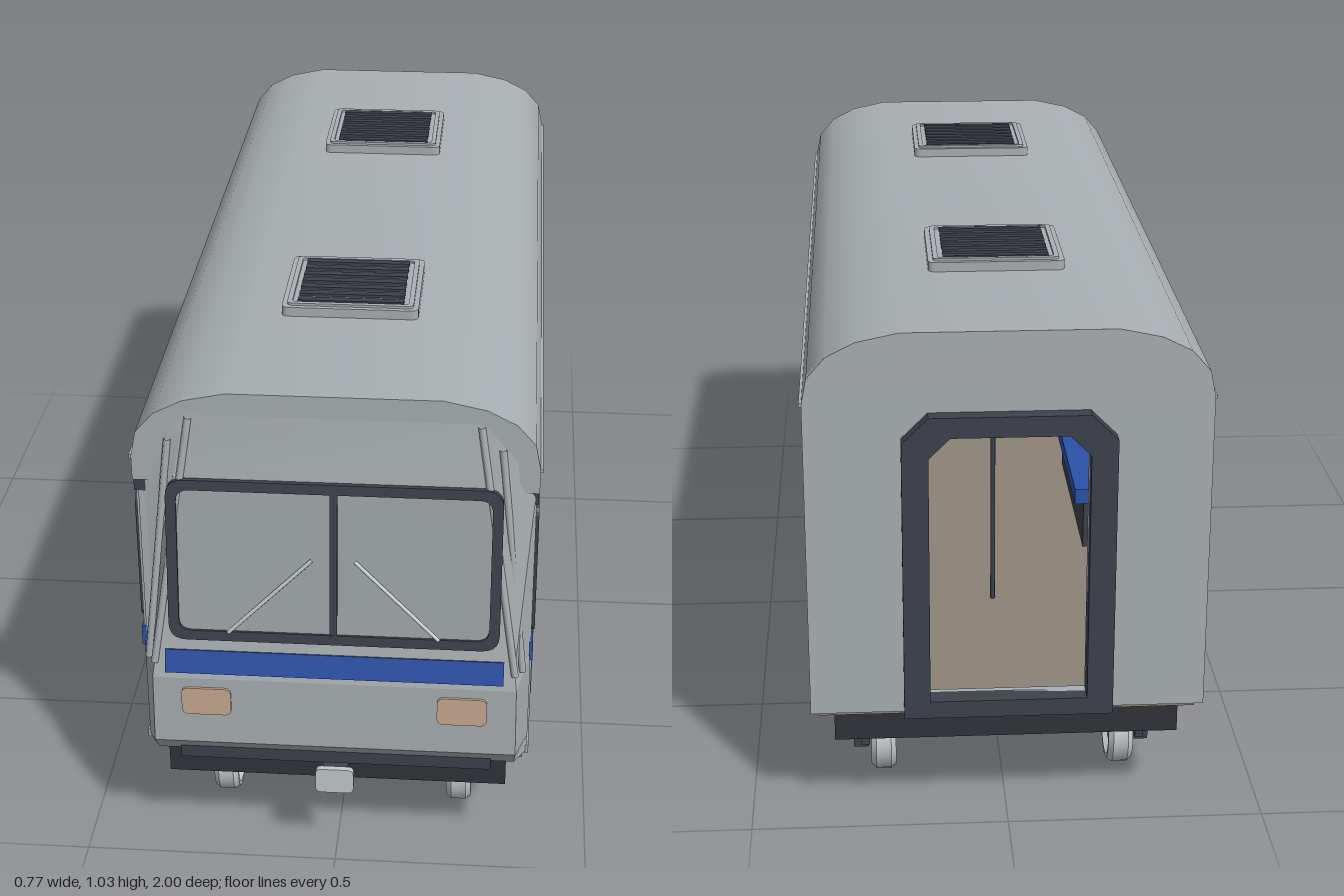
import * as THREE from 'three';
import { toCreasedNormals } from 'three/addons/utils/BufferGeometryUtils.js';

const mat = (name, color, extra = {}) => {
  const m = new THREE.MeshStandardMaterial({ color, ...extra });
  m.name = name;
  return m;
};

export function createModel() {
  const body = mat('body grey', 0xa9afb2, { side: THREE.DoubleSide });
  const glass = mat('window grey', 0x9ea4a7);
  const dark = mat('frame dark grey', 0x3d414b);
  const under = mat('underframe', 0x30333a);
  const blue = mat('stripe blue', 0x2d52a8);
  const lamp = mat('lamp peach', 0xc9aa92);
  const floorTan = mat('floor tan', 0x8b8176);
  const light = mat('wheel light grey', 0xc3c9ca);
  const root = new THREE.Group();

  const add = (name, geo, m, x = 0, y = 0, z = 0, parent = root) => {
    const mesh = new THREE.Mesh(geo, m);
    mesh.name = name;
    mesh.position.set(x, y, z);
    parent.add(mesh);
    return mesh;
  };
  // box given by its limits on each axis
  const box = (name, m, x0, x1, y0, y1, z0, z1, parent = root) =>
    add(name, new THREE.BoxGeometry(Math.abs(x1 - x0), y1 - y0, Math.abs(z1 - z0)), m,
      (x0 + x1) / 2, (y0 + y1) / 2, (z0 + z1) / 2, parent);
  const rod = (name, m, a, b, r, parent = root) =>
    add(name, new THREE.TubeGeometry(new THREE.LineCurve3(new THREE.Vector3(...a), new THREE.Vector3(...b)), 1, r, 8), m, 0, 0, 0, parent);

  const roundRect = (w, h, r, target = new THREE.Shape()) => {
    const x = w / 2, y = h / 2;
    target.moveTo(-x + r, -y);
    target.lineTo(x - r, -y).quadraticCurveTo(x, -y, x, -y + r);
    target.lineTo(x, y - r).quadraticCurveTo(x, y, x - r, y);
    target.lineTo(-x + r, y).quadraticCurveTo(-x, y, -x, y - r);
    target.lineTo(-x, -y + r).quadraticCurveTo(-x, -y, -x + r, -y);
    return target;
  };
  const extrude = (shape, depth) => {
    const g = new THREE.ExtrudeGeometry(shape, { depth, bevelEnabled: false, curveSegments: 5 });
    return g.translate(0, 0, -depth / 2);
  };
  const frameGeo = (w, h, t, r, depth) => {
    const s = roundRect(w, h, r);
    s.holes.push(roundRect(w - 2 * t, h - 2 * t, r * 0.7, new THREE.Path()));
    return extrude(s, depth);
  };
  // framed window lying in a side wall
  const sideWindow = (x, y0, y1, z0, z1, depth) => {
    const w = z1 - z0, h = y1 - y0, y = (y0 + y1) / 2, z = (z0 + z1) / 2;
    add('windowFrame', frameGeo(w, h, 0.014, 0.025, depth), dark, x, y, z).rotation.y = Math.PI / 2;
    add('windowGlass', extrude(roundRect(w - 0.016, h - 0.016, 0.02), depth - 0.01), glass, x, y, z).rotation.y = Math.PI / 2;
  };

  // roof shell
  const outer = [[0.38, 0.82], [0.38, 0.87], [0.37, 0.92], [0.335, 0.96], [0.28, 0.988], [0.2, 1.005]];
  const inner = [[0.36, 0.82], [0.36, 0.86], [0.35, 0.9], [0.315, 0.94], [0.265, 0.965], [0.19, 0.98]];
  const arch = (pts) => [...pts, ...pts.map(([x, y]) => [-x, y]).reverse()].map(([x, y]) => new THREE.Vector2(x, y));
  const roofShape = new THREE.Shape([...arch(outer), ...arch(inner).reverse()]);
  add('roof', toCreasedNormals(extrude(roofShape, 1.9), 0.7), body, 0, 0, -0.017);
  add('roofFrontCap', extrude(new THREE.Shape(arch(outer)), 0.015), body, 0, 0, 0.926);

  // rear wall with gangway opening
  const gangway = (x, y0, y1, c, T) => new T([[-x, y0], [x, y0], [x, y1 - c], [x - c, y1], [-x + c, y1], [-x, y1 - c]]
    .map(([a, b]) => new THREE.Vector2(a, b)));
  const rear = new THREE.Shape([new THREE.Vector2(-0.38, 0.235), new THREE.Vector2(0.38, 0.235), ...arch(outer)]);
  rear.holes.push(gangway(0.15, 0.27, 0.81, 0.04, THREE.Path));
  add('rearWall', extrude(rear, 0.02), body, 0, 0, -0.96);
  const gang = gangway(0.2, 0.235, 0.85, 0.05, THREE.Shape);
  gang.holes.push(gangway(0.15, 0.27, 0.81, 0.04, THREE.Path));
  add('gangwayFrame', extrude(gang, 0.04), dark, 0, 0, -0.98);

  // front shell from cross-sections: y, front z, front half width, side half width
  const rows = [[0.235, 0.966, 0.35, 0.375], [0.272, 0.995, 0.352, 0.375], [0.42, 0.995, 0.35, 0.375],
    [0.46, 0.985, 0.345, 0.375], [0.84, 0.945, 0.3, 0.375], [0.92, 0.937, 0.285, 0.366], [0.96, 0.934, 0.27, 0.332]];
  const pos = [], idx = [];
  rows.forEach(([y, zf, xf, xs], i) => {
    pos.push(-xs, y, 0.925, -xf, y, zf, xf, y, zf, xs, y, 0.925);
    if (i) for (let k = 0; k < 3; k++) {
      const a = (i - 1) * 4 + k, b = a + 4;
      idx.push(a, a + 1, b + 1, a, b + 1, b);
    }
  });
  const shell = new THREE.BufferGeometry();
  shell.setAttribute('position', new THREE.Float32BufferAttribute(pos, 3));
  shell.setIndex(idx);
  add('frontShell', toCreasedNormals(shell, 0.2), body);

  // windscreen, mullion and wipers on the sloping front
  const screen = new THREE.Group();
  screen.name = 'windscreen';
  screen.position.set(0, 0.67, 0.964);
  screen.rotation.x = -Math.atan(0.105);
  root.add(screen);
  add('windscreenFrame', frameGeo(0.63, 0.33, 0.02, 0.035, 0.022), dark, 0, 0, 0, screen);
  add('windscreenGlass', extrude(roundRect(0.6, 0.3, 0.02), 0.009), glass, 0, 0, 0.001, screen);
  box('windscreenMullion', dark, -0.007, 0.007, -0.15, 0.15, -0.009, 0.01, screen);
  for (const s of [1, -1]) {
    rod('wiper', light, [s * 0.2, -0.145, 0.014], [s * 0.04, 0.012, 0.012], 0.004, screen);
    rod('frontPillarTrim', body, [s * 0.27, 0.955, 0.935], [s * 0.346, 0.45, 0.987], 0.007);
    rod('frontSideTrim', body, [s * 0.31, 0.91, 0.936], [s * 0.36, 0.45, 0.968], 0.007);
    add('headlight', extrude(roundRect(0.096, 0.06, 0.014), 0.008), lamp, s * 0.247, 0.37, 0.996);
  }
  add('frontStripe', new THREE.BoxGeometry(0.65, 0.048, 0.006), blue, 0, 0.455, 0.9885).rotation.x = -0.2;

  // floor, underframe, bumper and coupler
  box('floor', floorTan, -0.366, 0.366, 0.22, 0.243, -0.95, 0.93);
  box('underframe', under, -0.335, 0.335, 0.16, 0.22, -0.94, 0.94);
  box('frontBumper', dark, -0.305, 0.305, 0.22, 0.248, 0.93, 0.975);
  box('couplerBar', dark, -0.025, 0.025, 0.172, 0.212, 0.93, 0.985);
  add('couplerFace', extrude(roundRect(0.075, 0.055, 0.012), 0.012), light, 0, 0.192, 0.992);
  for (const z of [0.26, -0.26]) {
    box('equipmentBox', light, -0.2, 0.2, 0.132, 0.16, z - 0.13, z + 0.13);
    box('equipmentBoxBase', under, -0.2, 0.2, 0.125, 0.132, z - 0.13, z + 0.13);
  }

  // both side walls
  const bays = [[0.74, 0.93, 0.75, 0.915], [-0.265, 0.27, -0.255, 0.255], [-0.95, -0.74, -0.93, -0.755]];
  for (const s of [1, -1]) {
    box('cantrail', dark, s * 0.35, s * 0.378, 0.795, 0.832, -0.945, 0.93);
    box('roofGutter', body, s * 0.37, s * 0.385, 0.862, 0.87, -0.96, 0.93);
    box('sill', body, s * 0.355, s * 0.378, 0.232, 0.25, -0.95, 0.93);
    for (const [z0, z1, w0, w1] of bays) {
      box('sidePanel', body, s * 0.353, s * 0.37, 0.245, 0.8, z0, z1);
      box('sideStripe', blue, s * 0.37, s * 0.379, 0.45, 0.492, z0, z1);
      sideWindow(s * 0.363, 0.502, 0.778, w0, w1, 0.036);
      const n = Math.round((z1 - z0) / 0.055);
      for (let i = 0; i < n; i++) {
        const z = z0 + (i + 0.5) * (z1 - z0) / n;
        box('panelRib', body, s * 0.37, s * 0.378, 0.275, 0.44, z - 0.007, z + 0.007);
      }
    }
    for (const z of [0.5, -0.5]) {
      // doorway surround and lamp
      for (const e of [-1, 1]) box('doorPost', body, s * 0.35, s * 0.382, 0.245, 0.805, z + e * 0.235 - 0.008, z + e * 0.235 + 0.008);
      box('doorHeader', body, s * 0.35, s * 0.38, 0.79, 0.804, z - 0.235, z + 0.235);
      box('doorLamp', lamp, s * 0.37, s * 0.383, 0.802, 0.828, z - 0.023, z + 0.023);
    }
    // benches, handrail and lamp strip inside
    box('benchBase', dark, s * 0.22, s * 0.352, 0.243, 0.35, -0.25, 0.25);
    box('benchSeat', blue, s * 0.2, s * 0.352, 0.35, 0.385, -0.255, 0.255);
    rod('handrail', light, [s * 0.22, 0.84, -0.85], [s * 0.22, 0.84, 0.8], 0.005);
    box('lampStrip', lamp, s * 0.32, s * 0.345, 0.87, 0.885, -0.93, 0.9);
  }

  // closed front door pair on one side
  for (const z of [0.385, 0.615]) {
    box('doorLeaf', body, -0.345, -0.362, 0.25, 0.795, z - 0.114, z + 0.114);
    sideWindow(-0.361, 0.48, 0.755, z - 0.075, z + 0.075, 0.022);
  }
  box('doorSeal', dark, -0.347, -0.36, 0.25, 0.795, 0.497, 0.503);

  // grab poles and driver stool
  for (const z of [0.5, -0.5]) rod('grabPole', dark, [0, 0.243, z], [0, 0.985, z], 0.005);
  box('driverSeatBase', dark, 0.12, 0.25, 0.243, 0.31, 0.74, 0.84);
  add('driverSeat', new THREE.CylinderGeometry(0.08, 0.08, 0.045, 16), blue, 0.185, 0.332, 0.77);

  // roof vents
  for (const z of [0.458, -0.473]) {
    const ventBase = add('roofVent', extrude(roundRect(0.27, 0.258, 0.015), 0.03), body, 0, 1.009, z);
    ventBase.rotation.x = -Math.PI / 2;
    const rim = add('roofVentRim', frameGeo(0.25, 0.238, 0.01, 0.012, 0.006), body, 0, 1.026, z);
    rim.rotation.x = -Math.PI / 2;
    for (let i = -3; i <= 3; i++) box('ventSlat', dark, -0.105, 0.105, 1.022, 1.03, z + i * 0.032 - 0.008, z + i * 0.032 + 0.008);
  }

  // bogies
  const wheelProfile = [[0.012, -0.022], [0.055, -0.014], [0.062, -0.025], [0.07, -0.025], [0.078, -0.015],
    [0.078, 0.015], [0.07, 0.025], [0.062, 0.025], [0.055, 0.014], [0.012, 0.022]].map(([r, y]) => new THREE.Vector2(r, y));
  const wheelGeo = toCreasedNormals(new THREE.LatheGeometry(wheelProfile, 24), 0.5);
  for (const c of [0.643, -0.643]) {
    box('bogieBolster', dark, -0.265, 0.265, 0.125, 0.162, c - 0.18, c + 0.18);
    for (const s of [1, -1]) box('bogieSideFrame', dark, s * 0.268, s * 0.285, 0.085, 0.135, c - 0.19, c + 0.19);
    for (const z of [c - 0.118, c + 0.118]) {
      add('axle', new THREE.CylinderGeometry(0.017, 0.017, 0.54, 12), light, 0, 0.082, z).rotation.z = Math.PI / 2;
      for (const s of [1, -1]) {
        add('wheel', wheelGeo, light, s * 0.24, 0.079, z).rotation.z = Math.PI / 2;
        box('axleBox', dark, s * 0.27, s * 0.3, 0.056, 0.11, z - 0.028, z + 0.028);
      }
    }
  }
  return root;
}
